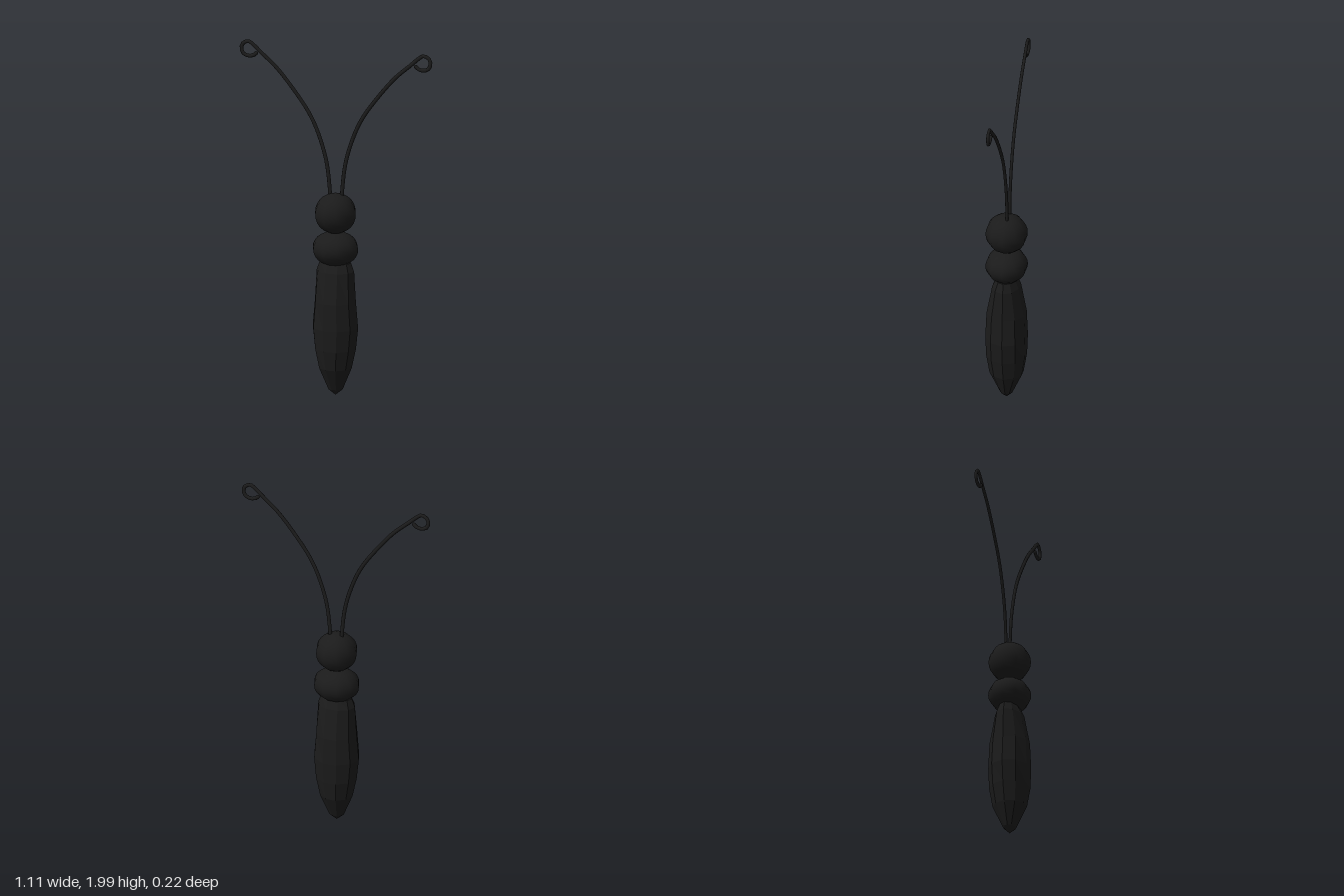
import * as THREE from 'three';

const SIDES = 10;

export function createModel() {
  const group = new THREE.Group();
  const black = new THREE.MeshStandardMaterial({ color: 0x1b1b1b });
  black.name = 'soft black';

  const add = (name, geometry) => {
    const mesh = new THREE.Mesh(geometry, black);
    mesh.name = name;
    group.add(mesh);
    return mesh;
  };

  // Abdomen: ten-sided tapering body, rings of [y, half width, half depth]
  const rings = [
    [0.01, 0, 0], [0.045, 0.042, 0.036], [0.17, 0.094, 0.095], [0.28, 0.118, 0.113],
    [0.4, 0.131, 0.117], [0.55, 0.118, 0.111], [0.72, 0.108, 0.078], [0.77, 0.09, 0.055], [0.82, 0, 0],
  ];
  const body = new THREE.LatheGeometry(
    rings.map(([y, rx]) => new THREE.Vector2(rx, y)), SIDES, Math.PI / 2);
  const pos = body.attributes.position;
  for (let i = 0; i < pos.count; i++) {
    const [, rx, rz] = rings[i % rings.length];
    if (rx > 0) pos.setZ(i, pos.getZ(i) * rz / rx);
  }
  const faceted = body.toNonIndexed();
  faceted.computeVertexNormals();
  add('abdomen', faceted);

  // Thorax and head: ten-sided balls
  const ball = (name, y, rx, ry, rz) => {
    const g = new THREE.SphereGeometry(1, SIDES, 14);
    g.scale(rx, ry, rz);
    add(name, g).position.y = y;
  };
  ball('thorax', 0.847, 0.131, 0.097, 0.117);
  ball('head', 1.048, 0.117, 0.113, 0.117);

  // Antennae: long outward curve ending in a small curl
  const path = [
    [0.033, 1.1], [0.036, 1.18], [0.056, 1.34], [0.103, 1.496], [0.152, 1.6], [0.22, 1.7],
    [0.34, 1.846], [0.43, 1.927], [0.48, 1.972], [0.503, 1.987], [0.535, 1.975], [0.546, 1.945],
    [0.534, 1.915], [0.507, 1.904], [0.48, 1.907], [0.461, 1.922],
  ];
  for (const [name, s] of [['leftAntenna', 1], ['rightAntenna', -1]]) {
    const curve = new THREE.CatmullRomCurve3(path.map(([x, y]) => new THREE.Vector3(s * x, y, 0)));
    const mesh = add(name, new THREE.TubeGeometry(curve, 60, 0.011, 8));
    mesh.scale.z = 0.8;
    mesh.position.z = -0.01;
    // Small flat caps closing the tube ends
    const cap = new THREE.Mesh(new THREE.SphereGeometry(0.011, 8, 6), black);
    cap.name = name + 'Tip';
    cap.position.set(s * 0.461, 1.922, 0);
    mesh.add(cap);
  }
  return group;
}
